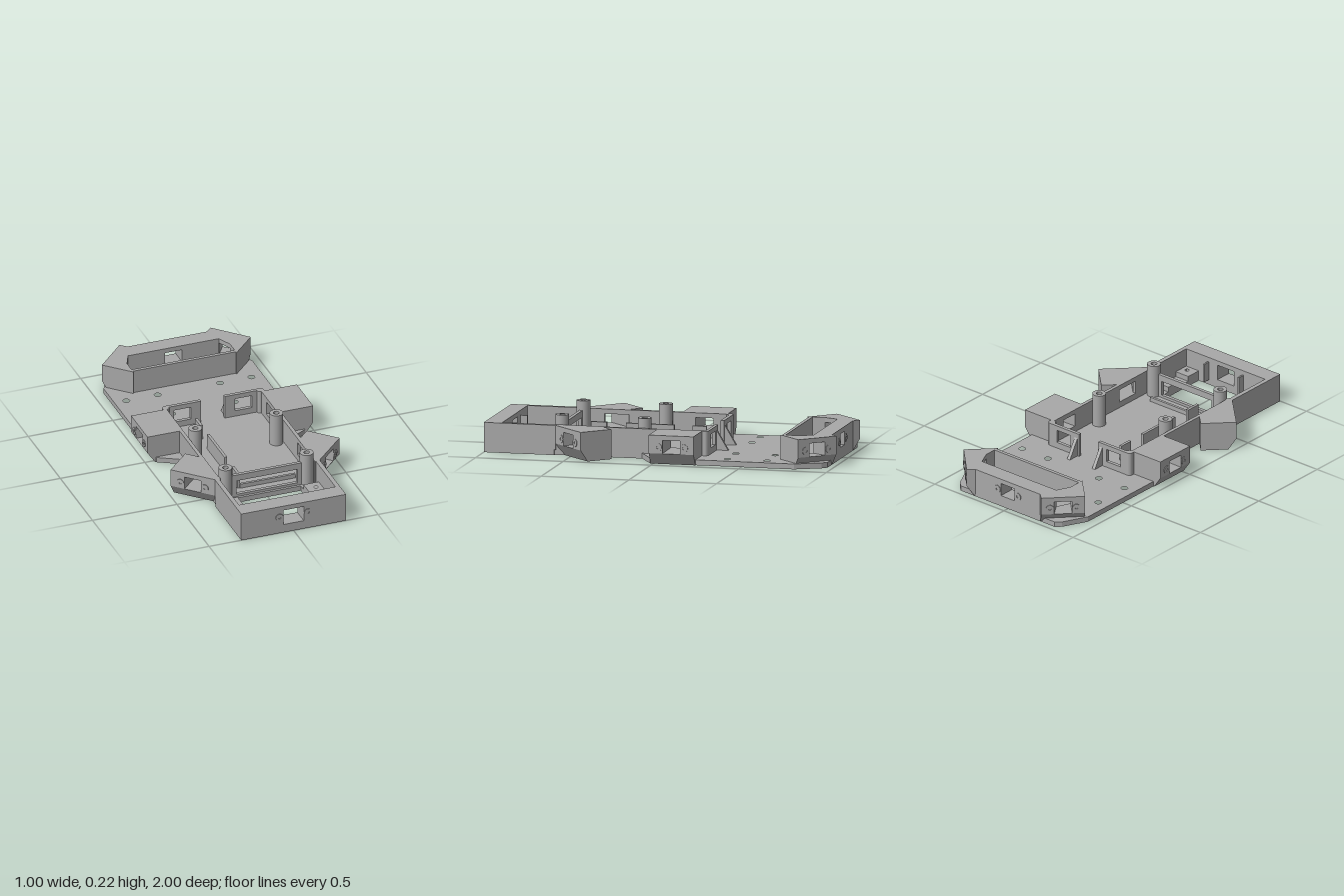
import * as THREE from 'three';

const FLOOR = 0.03, TOP = 0.167;

export function createModel() {
  const model = new THREE.Group();
  model.name = 'chassis';
  const grey = new THREE.MeshStandardMaterial({ color: 0xa8a8a8 });
  grey.name = 'printed grey';

  const add = (name, geo, parent = model) => {
    const mesh = new THREE.Mesh(geo, grey);
    mesh.name = name;
    parent.add(mesh);
    return mesh;
  };
  const circle = (x, y, r) => new THREE.Path().absarc(x, y, r, 0, Math.PI * 2, true);

  // Vertical prism from a plan outline of [x, z] points, with round holes [x, z, r]
  const prism = (pts, y0, y1, holes = []) => {
    const s = new THREE.Shape(pts.map(([x, z]) => new THREE.Vector2(x, -z)));
    holes.forEach(([x, z, r]) => s.holes.push(circle(x, -z, r)));
    return new THREE.ExtrudeGeometry(s, { depth: y1 - y0, bevelEnabled: false, curveSegments: 8 })
      .rotateX(-Math.PI / 2).translate(0, y0, 0);
  };
  const rect = (x0, x1, z0, z1) => [[x0, z0], [x1, z0], [x1, z1], [x0, z1]];
  const box = (name, x0, x1, y0, y1, z0, z1) => add(name, prism(rect(x0, x1, z0, z1), y0, y1));

  // Upright wall along a to b with windows [a0, a1, y0, y1]
  const wall = (a, b, windows, top = TOP, thick = 0.02) => {
    const path = (T, a0, a1, y0, y1) => new T([[a0, y0], [a1, y0], [a1, y1], [a0, y1]]
      .map(p => new THREE.Vector2(...p)));
    const s = path(THREE.Shape, a, b, FLOOR, top);
    windows.forEach(w => s.holes.push(path(THREE.Path, ...w)));
    return new THREE.ExtrudeGeometry(s, { depth: thick, bevelEnabled: false });
  };

  // Sensor housing: face edge f1-f2, and back points from the tunnel out to each side
  const housing = (name, f1, f2, back1, back2, { half = 0.05, sill = 0.065, chamfer = 0.045 } = {}) => {
    const g = new THREE.Group();
    g.name = name;
    model.add(g);
    const a = new THREE.Vector2(...f1), b = new THREE.Vector2(...f2);
    const c = a.clone().add(b).multiplyScalar(0.5);
    const t = b.clone().sub(a).normalize();
    const inward = new THREE.Vector2(-t.y, t.x);
    if (inward.dot(new THREE.Vector2(...back1[0]).sub(c)) < 0) inward.negate();
    const at = d => [c.x + t.x * d, c.y + t.y * d];
    const plan = [f1, f2, ...[...back2].reverse(), ...back1];

    // Base with its lower face edge drawn inward
    const base = prism(plan, 0, sill);
    const p = base.attributes.position;
    for (let i = 0; i < p.count; i++) {
      const depth = (p.getX(i) - c.x) * inward.x + (p.getZ(i) - c.y) * inward.y;
      if (p.getY(i) < 0.001 && depth < 0.01)
        p.setXYZ(i, p.getX(i) + inward.x * chamfer, 0, p.getZ(i) + inward.y * chamfer);
    }
    base.computeVertexNormals();
    add('housing base', base, g);
    add('housing side', prism([f1, at(-half), ...back1], sill, 0.14), g);
    add('housing side', prism([f2, at(half), ...back2], sill, 0.14), g);
    add('housing roof', prism(plan, 0.14, TOP), g);

    // Screw ears either side of the window
    for (const d of [-1, 1]) {
      const s = new THREE.Shape().absarc(0, 0, 0.022, 0, Math.PI * 2);
      s.holes.push(circle(0, 0, 0.008));
      const ear = add('screw ear', new THREE.ExtrudeGeometry(s,
        { depth: 0.004, bevelEnabled: false, curveSegments: 12 }), g);
      const [x, z] = at(d * (half + 0.024));
      ear.position.set(x, 0.1, z);
      ear.rotation.y = Math.atan2(-inward.x, -inward.y);
    }
  };

  // Floor plate with the front opening and screw holes
  const right = [[0.34, -0.967], [0.37, -0.94], [0.44, -0.8], [0.44, 0.02], [0.3, 0.1],
    [0.3, 0.6], [0.31, 0.6], [0.31, 0.9], [0.195, 0.9], [0.195, 0.6]];
  const left = right.map(([x, z]) => [-x, z]).reverse();
  const plateHoles = [];
  for (const x of [-0.37, -0.185, 0.185, 0.37])
    for (const z of [-0.63, -0.405]) plateHoles.push([x, z, 0.019]);
  for (const x of [-0.25, 0.25])
    for (const z of [0.69, 0.865]) plateHoles.push([x, z, 0.012]);
  add('floor plate', prism([...right, ...left], 0, FLOOR, plateHoles));

  // Front and rear sensor bars
  housing('front bar', [-0.31, 1], [0.31, 1], [[-0.06, 0.9], [-0.31, 0.9]],
    [[0.06, 0.9], [0.31, 0.9]], { half: 0.06, sill: 0.05, chamfer: 0 });
  housing('rear bar', [-0.27, -0.967], [0.27, -0.967], [[-0.05, -0.87], [-0.27, -0.87]],
    [[0.05, -0.87], [0.27, -0.87]], { chamfer: 0 });
  box('rear tray wall', -0.31, 0.31, FLOOR, TOP, -0.72, -0.7);

  for (const s of [1, -1]) {
    const m = pts => pts.map(([x, z]) => [x * s, z]);
    const pod = (name, f, b1, b2) => housing(name, ...m(f), m(b1), m(b2));
    pod('rear corner pod', [[0.27, -1], [0.44, -0.825]],
      [[0.269, -0.87], [0.13, -0.87]], [[0.305, -0.79], [0.305, -0.69]]);
    pod('side pod', [[0.49, -0.24], [0.49, 0.015]],
      [[0.3, -0.16], [0.3, -0.24]], [[0.3, -0.06], [0.3, 0.015]]);
    pod('front corner pod', [[0.5, 0.4], [0.31, 0.59]],
      [[0.3, 0.32], [0.36, 0.26]], [[0.3, 0.46], [0.3, 0.59]]);

    // Enclosure side wall, with windows meeting the pod tunnels
    add('side wall', wall(-0.26, 0.6, [[-0.16, -0.06, 0.065, 0.14], [0.32, 0.46, 0.065, 0.14]])
      .rotateY(-Math.PI / 2)).position.x = s > 0 ? 0.3 : -0.28;

    // Rear wall half with a window, rounded corner and a sloping brace
    const [a, b] = s > 0 ? [0.07, 0.285] : [-0.285, -0.07];
    const w = s > 0 ? [0.13, 0.23, 0.065, 0.14] : [-0.23, -0.13, 0.065, 0.14];
    add('rear wall', wall(a, b, [w])).position.z = -0.275;
    add('wall corner', new THREE.CylinderGeometry(0.02, 0.02, TOP - FLOOR, 16))
      .position.set(s * 0.28, (TOP + FLOOR) / 2, -0.255);
    const tri = new THREE.Shape([[0.27, FLOOR], [0.34, FLOOR], [0.275, 0.14], [0.27, 0.14]]
      .map(p => new THREE.Vector2(...p)));
    add('wall brace', new THREE.ExtrudeGeometry(tri, { depth: 0.02, bevelEnabled: false })
      .rotateY(Math.PI / 2)).position.x = s * 0.09 - 0.01;

    // Front frame sides, mounting pads and stiffening ribs
    const [x0, x1] = s > 0 ? [0.285, 0.31] : [-0.31, -0.285];
    box('front frame side', x0, x1, FLOOR, TOP, 0.59, 0.9);
    const [p0, p1] = s > 0 ? [0.195, 0.29] : [-0.29, -0.195];
    for (const [z0, z1, hz] of [[0.64, 0.74, 0.69], [0.81, 0.9, 0.865]])
      add('mounting pad', prism(rect(p0, p1, z0, z1), FLOOR, 0.06, [[s * 0.25, hz, 0.012]]));
    box('front bar rib', s * 0.125 - 0.005, s * 0.125 + 0.005, FLOOR, 0.14, 0.86, 0.9);

    // Hollow screw posts
    for (const z of [0.1, 0.57]) {
      const profile = [[0.016, 0.08], [0.016, 0.22], [0.038, 0.22], [0.038, FLOOR]]
        .map(p => new THREE.Vector2(...p)).reverse();
      const post = new THREE.Group();
      post.name = 'screw post';
      post.position.set(s * 0.24, 0, z);
      model.add(post);
      for (let i = 0; i < 3; i++)
        add('post surface', new THREE.LatheGeometry(profile.slice(i, i + 2), 24), post);
      add('post bore floor', new THREE.CircleGeometry(0.016, 24).rotateX(-Math.PI / 2)
        .translate(0, 0.08, 0), post);
    }
  }

  // Front cross wall, low lip and battery partitions
  add('front cross wall', wall(-0.28, 0.28, [[-0.18, 0.18, 0.045, 0.13]])).position.z = 0.565;
  box('front lip', -0.13, 0.2, FLOOR, 0.055, 0.49, 0.505);
  for (const [z0, z1] of [[-0.16, -0.08], [0.025, 0.3], [0.41, 0.5]])
    box('partition', -0.143, -0.127, FLOOR, 0.12, z0, z1);

  return model;
}
